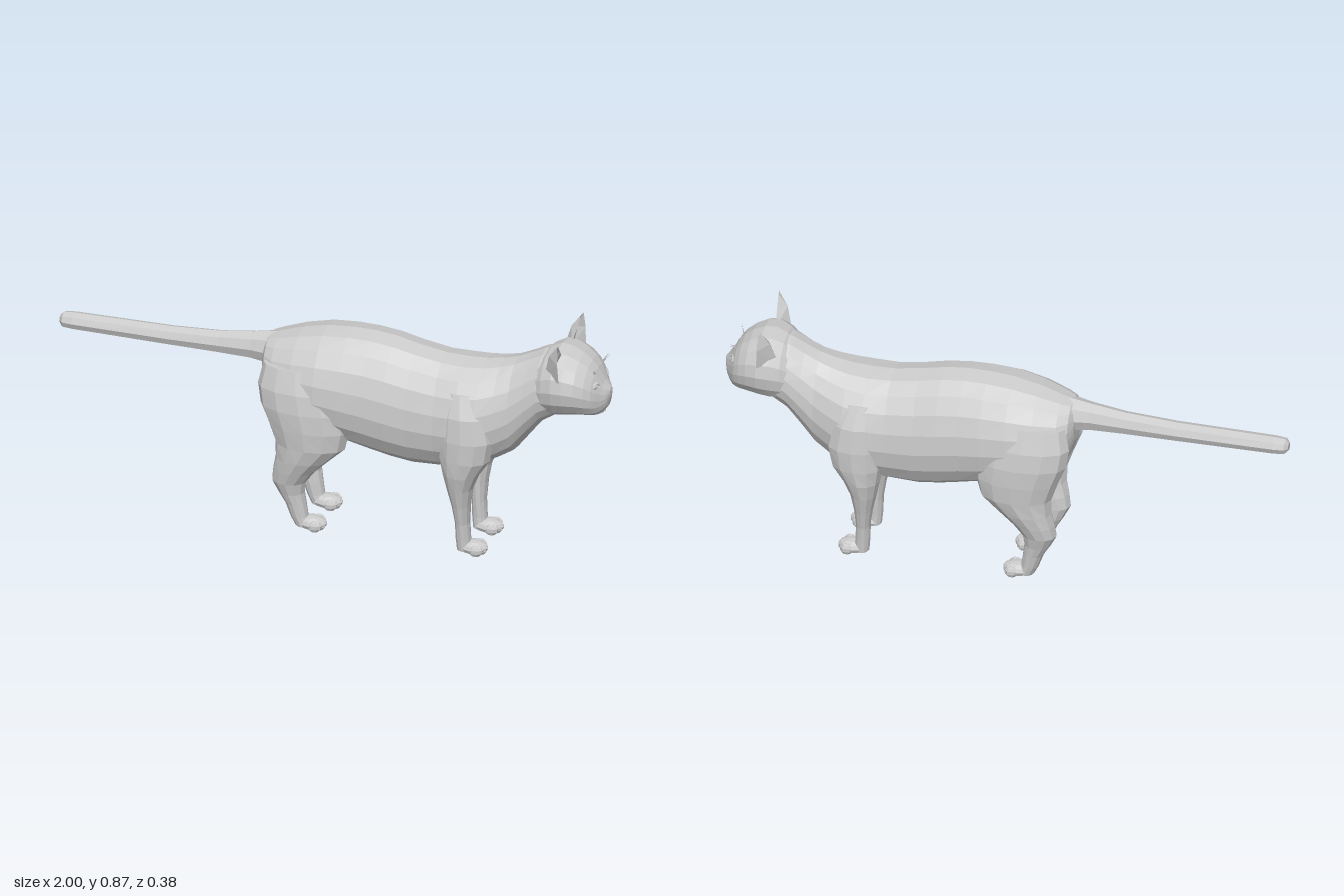
import * as THREE from 'three';

const grey = new THREE.MeshStandardMaterial({ color: 0xcccccc, flatShading: true });
const greyThin = new THREE.MeshStandardMaterial({ color: 0xcccccc, flatShading: true, side: THREE.DoubleSide });
const V = (x, y, z) => new THREE.Vector3(x, y, z);
const bend = (t, p) => Math.sign(t) * Math.abs(t) ** p;

// Skin over a row of rings; each ring is a list of points running counter-clockwise about the row's direction
function loft(rings) {
  const n = rings[0].length, pos = [], idx = [];
  const middle = r => r.reduce((s, p) => s.add(p), V(0, 0, 0)).divideScalar(n);
  rings.forEach(r => r.forEach(p => pos.push(p.x, p.y, p.z)));
  const first = middle(rings[0]), last = middle(rings[rings.length - 1]);
  pos.push(...first.toArray(), ...last.toArray());
  const A = n * rings.length, top = A - n;
  for (let j = 0; j < n; j++) {
    const k = (j + 1) % n;
    for (let i = 0; i < rings.length - 1; i++) {
      const a = i * n + j, b = i * n + k;
      idx.push(a, b, a + n, b, b + n, a + n);
    }
    idx.push(A, k, j, A + 1, top + j, top + k);
  }
  const g = new THREE.BufferGeometry();
  g.setAttribute('position', new THREE.Float32BufferAttribute(pos, 3));
  g.setIndex(idx);
  g.computeVertexNormals();
  return g;
}

// Upright cross-section: x, top, bottom, half width; taper narrows the upper half
function uprightRing([x, top, bottom, half], n, taper = 0) {
  return Array.from({ length: n }, (_, j) => {
    const a = (j / n) * Math.PI * 2, s = Math.cos(a);
    return V(x, (top + bottom) / 2 + (top - bottom) / 2 * s, half * bend(Math.sin(a), 0.85) * (1 - taper * s));
  });
}

// Level cross-section: y, back x, front x, inner z, outer z
function levelRing([y, back, front, inner, outer], side, n) {
  return Array.from({ length: n }, (_, j) => {
    const a = (j / n) * Math.PI * 2;
    return V((back + front) / 2 + (front - back) / 2 * Math.sin(a), y,
      side * (inner + outer) / 2 + (outer - inner) / 2 * Math.cos(a));
  });
}

function add(parent, name, geometry, material = grey) {
  const m = new THREE.Mesh(geometry, material);
  m.name = name;
  parent.add(m);
  return m;
}

function ball(parent, name, [x, y, z], [rx, ry, rz], w = 8, h = 6) {
  const m = add(parent, name, new THREE.SphereGeometry(1, w, h));
  m.position.set(x, y, z);
  m.scale.set(rx, ry, rz);
  return m;
}

const TORSO = [
  [-0.25, 0.67, 0.54, 0.06], [-0.235, 0.69, 0.49, 0.1], [-0.2, 0.703, 0.44, 0.132], [-0.12, 0.73, 0.4, 0.162],
  [-0.03, 0.751, 0.37, 0.177], [0.06, 0.759, 0.345, 0.176], [0.14, 0.759, 0.325, 0.171], [0.22, 0.75, 0.308, 0.17],
  [0.3, 0.732, 0.297, 0.166], [0.4, 0.715, 0.302, 0.166], [0.48, 0.713, 0.312, 0.176], [0.55, 0.717, 0.335, 0.166],
  [0.61, 0.727, 0.365, 0.145], [0.66, 0.742, 0.395, 0.128], [0.71, 0.765, 0.46, 0.122], [0.76, 0.79, 0.525, 0.122],
  [0.82, 0.805, 0.565, 0.12]];
const HEAD = [
  [0.74, 0.76, 0.56, 0.105], [0.78, 0.8, 0.56, 0.13], [0.82, 0.819, 0.563, 0.145], [0.86, 0.815, 0.57, 0.147],
  [0.9, 0.795, 0.575, 0.133], [0.93, 0.772, 0.574, 0.115], [0.95, 0.748, 0.575, 0.097], [0.963, 0.725, 0.578, 0.078],
  [0.976, 0.702, 0.588, 0.056], [0.988, 0.686, 0.605, 0.036], [0.997, 0.675, 0.642, 0.014]];
const TAIL = [
  [-1, 0.634, 0.606, 0.016], [-0.988, 0.647, 0.592, 0.03], [-0.95, 0.65, 0.59, 0.035], [-0.6, 0.654, 0.586, 0.036],
  [-0.42, 0.665, 0.584, 0.038], [-0.3, 0.682, 0.582, 0.046], [-0.2, 0.7, 0.57, 0.065]];
const FORELEG = [
  [0.015, 0.468, 0.52, 0.058, 0.118], [0.06, 0.464, 0.517, 0.058, 0.122], [0.12, 0.463, 0.513, 0.054, 0.129],
  [0.19, 0.453, 0.518, 0.05, 0.144], [0.26, 0.437, 0.53, 0.046, 0.162], [0.32, 0.424, 0.555, 0.045, 0.177],
  [0.38, 0.412, 0.595, 0.05, 0.184], [0.46, 0.41, 0.61, 0.06, 0.187], [0.55, 0.42, 0.59, 0.07, 0.178],
  [0.63, 0.44, 0.55, 0.08, 0.145]];
const HINDLEG = [
  [0.015, -0.118, -0.06, 0.058, 0.118], [0.05, -0.135, -0.073, 0.057, 0.123], [0.1, -0.153, -0.08, 0.054, 0.129],
  [0.14, -0.177, -0.085, 0.052, 0.136], [0.185, -0.2, -0.078, 0.05, 0.148], [0.23, -0.194, -0.045, 0.046, 0.16],
  [0.28, -0.184, 0.005, 0.045, 0.172], [0.34, -0.184, 0.068, 0.045, 0.181], [0.41, -0.208, 0.085, 0.045, 0.187],
  [0.48, -0.236, 0.085, 0.045, 0.188], [0.55, -0.247, 0.07, 0.045, 0.18], [0.63, -0.23, 0.03, 0.05, 0.155]];

// Leg with a rounded paw and four toes
function leg(name, rings, side, toeX) {
  const g = new THREE.Group();
  g.name = name;
  add(g, 'limb', loft(rings.map(r => levelRing(r, side, 12))));
  ball(g, 'paw', [toeX - 0.055, 0.026, side * 0.086], [0.054, 0.026, 0.042]);
  [-0.032, -0.011, 0.011, 0.032].forEach(d =>
    ball(g, 'toe', [toeX - 0.022 - Math.abs(d) * 0.5, 0.024, side * 0.086 + d], [0.024, 0.021, 0.014], 6, 5));
  return g;
}

// Pointed ear, hollow at the front
function earGeometry() {
  const p = [
    [0.835, 0.785, 0.045], [0.79, 0.745, 0.1], [0.855, 0.735, 0.148], // inner, back and outer base
    [0.842, 0.835, 0.096], [0.812, 0.825, 0.125], [0.852, 0.81, 0.156], // half-way up
    [0.845, 0.868, 0.125], [0.848, 0.87, 0.146], // blunt tip
    [0.825, 0.765, 0.105], [0.826, 0.825, 0.126]]; // hollow
  const faces = [
    0, 1, 4, 0, 4, 3, 1, 2, 5, 1, 5, 4, 3, 4, 6, 4, 7, 6, 4, 5, 7,
    0, 3, 8, 3, 9, 8, 5, 2, 8, 9, 5, 8, 3, 6, 9, 6, 7, 9, 7, 5, 9];
  const g = new THREE.BufferGeometry();
  g.setAttribute('position', new THREE.Float32BufferAttribute(p.flat(), 3));
  g.setIndex(faces);
  g.computeVertexNormals();
  return g;
}

// Fine brow hairs fanning out above an eye
function browHairs() {
  const pos = [];
  [[0.765, 0.082], [0.773, 0.08], [0.758, 0.072]].forEach(([y, z], i) =>
    pos.push(0.945, 0.742 + i * 0.002, 0.042, 0.947, 0.737 + i * 0.002, 0.046, 0.972 - i * 0.006, y, z));
  const g = new THREE.BufferGeometry();
  g.setAttribute('position', new THREE.Float32BufferAttribute(pos, 3));
  g.computeVertexNormals();
  return g;
}

export function createModel() {
  const cat = new THREE.Group();
  cat.name = 'cat';
  add(cat, 'torso', loft(TORSO.map(r => uprightRing(r, 18, 0.08))));
  add(cat, 'tail', loft(TAIL.map(r => uprightRing(r, 8))));

  const head = new THREE.Group();
  head.name = 'head';
  cat.add(head);
  add(head, 'skull', loft(HEAD.map(r => uprightRing(r, 16))));
  ball(head, 'nose', [0.987, 0.664, 0], [0.013, 0.012, 0.016], 6, 4);
  ball(head, 'chin', [0.955, 0.587, 0], [0.024, 0.014, 0.028], 6, 5);

  for (const side of [1, -1]) {
    const label = side > 0 ? 'left' : 'right';
    cat.add(leg(label + 'Foreleg', FORELEG, side, 0.58));
    cat.add(leg(label + 'HindLeg', HINDLEG, side, -0.005));

    // Face details
    add(head, label + 'Ear', earGeometry(), greyThin).scale.z = side;
    add(head, label + 'BrowHairs', browHairs(), greyThin).scale.z = side;
    ball(head, label + 'Muzzle', [0.963, 0.622, side * 0.024], [0.024, 0.024, 0.028], 7, 5);
    ball(head, label + 'Eye', [0.955, 0.7, side * 0.06], [0.012, 0.013, 0.017], 6, 4);
    const lid = add(head, label + 'Eyelid', new THREE.TorusGeometry(0.017, 0.004, 4, 6));
    lid.position.set(0.959, 0.7, side * 0.06);
    lid.rotation.y = Math.PI / 2 - side * 0.6;
    lid.scale.y = 0.8;
  }
  return cat;
}
